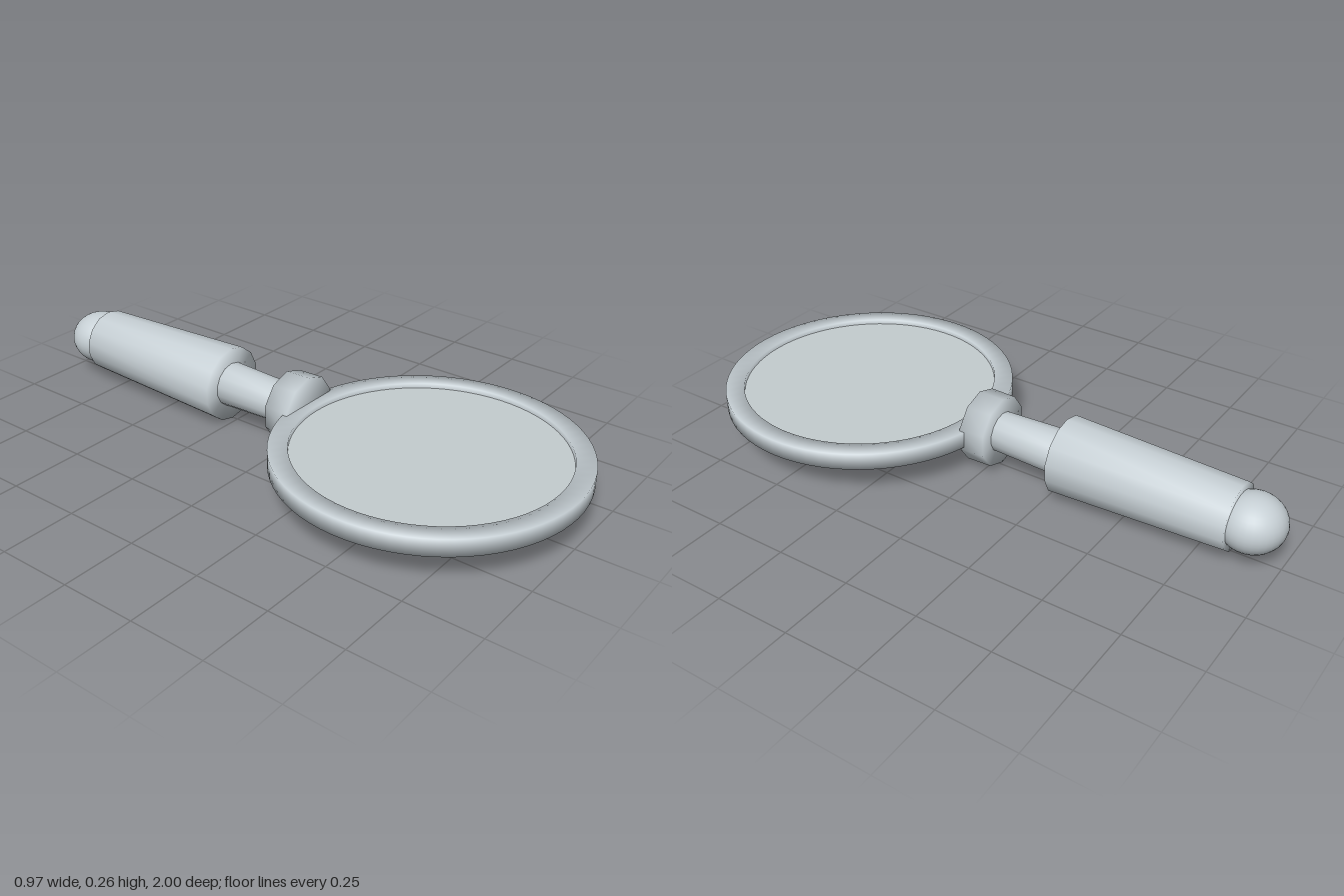
import * as THREE from 'three';
import { mergeVertices } from 'three/addons/utils/BufferGeometryUtils.js';

const AXIS_Y = 0.132; // height of the handle axis
const RING_Z = 0.512; // centre of the lens

// Weld corners so shading rolls softly over the rims
function soften(geometry) {
  geometry.deleteAttribute('normal');
  geometry.deleteAttribute('uv');
  const welded = mergeVertices(geometry, 1e-4);
  welded.computeVertexNormals();
  return welded;
}

export function createModel() {
  const model = new THREE.Group();
  const metal = new THREE.MeshStandardMaterial({ color: 0xc6cfd4 });
  metal.name = 'pale grey';
  const glass = new THREE.MeshStandardMaterial({ color: 0xc4cccf });
  glass.name = 'glass grey';

  function add(name, geometry, material, y, z) {
    const mesh = new THREE.Mesh(geometry, material);
    mesh.name = name;
    mesh.position.set(0, y, z);
    model.add(mesh);
    return mesh;
  }

  // Turned part lying along z, from a front to a back position
  function rod(name, rFront, rBack, zFront, zBack, sides) {
    const geometry = new THREE.CylinderGeometry(rFront, rBack, zFront - zBack, sides);
    geometry.rotateX(Math.PI / 2);
    // put a corner at the very top
    geometry.rotateZ(Math.PI);
    return add(name, soften(geometry), metal, AXIS_Y, (zFront + zBack) / 2);
  }

  // Rim: rectangular section turned around the lens
  const section = [[0.425, -0.028], [0.487, -0.028], [0.487, 0.028], [0.425, 0.028], [0.425, -0.028]]
    .map(([r, y]) => new THREE.Vector2(r, y));
  add('rim', soften(new THREE.LatheGeometry(section, 72)), metal, 0.134, RING_Z);

  // Lens: flat disc set inside the rim
  add('lens', new THREE.CylinderGeometry(0.43, 0.43, 0.024, 64), glass, 0.134, RING_Z);

  // Collar, neck and grip
  rod('collar', 0.12, 0.118, 0.055, -0.033, 10);
  rod('neck', 0.067, 0.076, -0.02, -0.29, 14);
  rod('grip', 0.128, 0.108, -0.27, -0.853, 14);

  // Rounded end of the handle
  const knob = add('endKnob', new THREE.SphereGeometry(1, 32, 20), metal, AXIS_Y, -0.895);
  knob.scale.set(0.104, 0.091, 0.105);

  return model;
}
